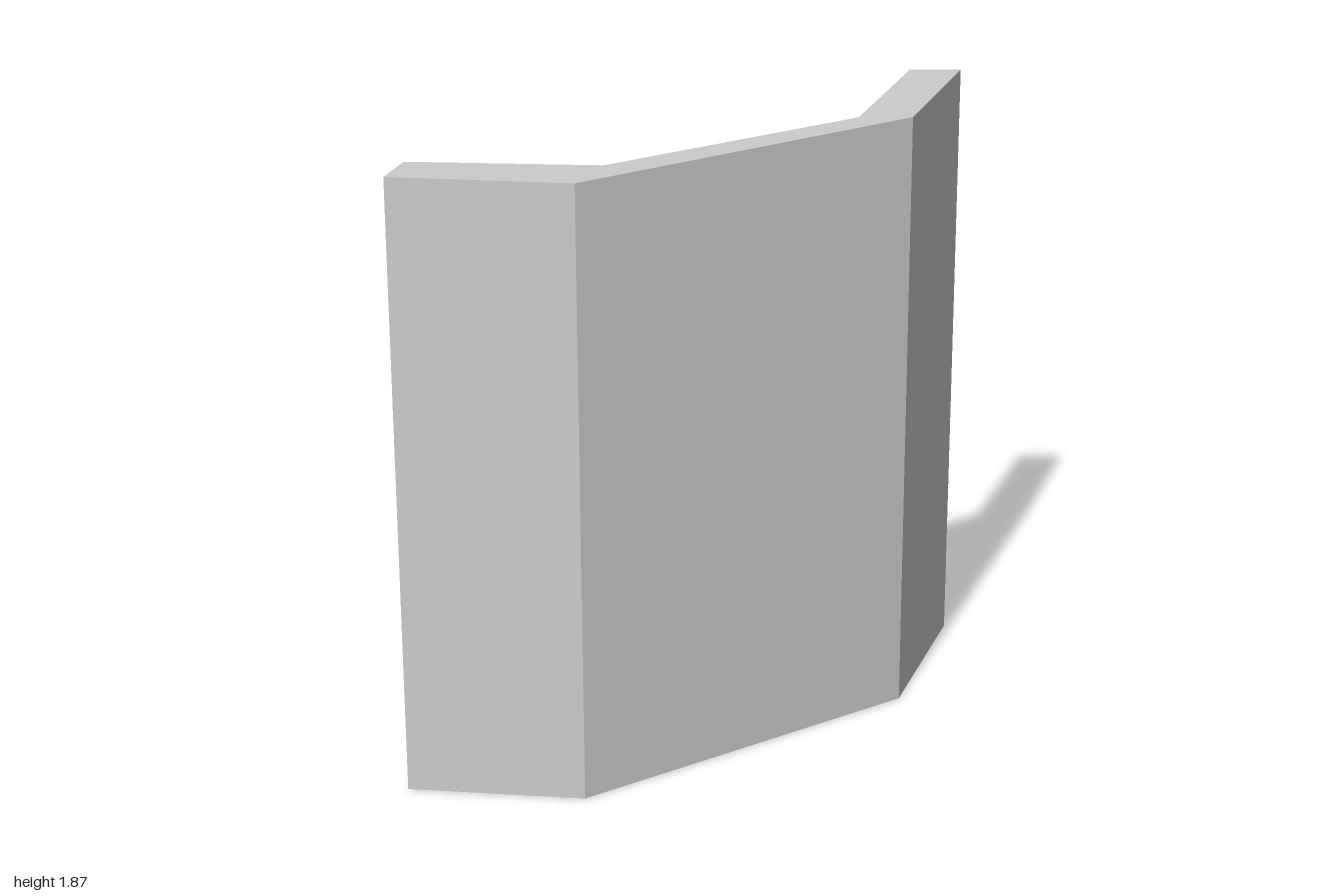
import * as THREE from 'three';

const HEIGHT = 1.87;

// Plan outline of the folded panel as [x, z]: outer (front) face, then inner (back) face
const OUTLINE = [
  [-1, -0.12], [-0.6, 0.22], [0.555, 0.207], [1, -0.137],
  [0.87, -0.222], [0.425, 0.12], [-0.445, 0.12], [-0.885, -0.217],
];

export function createModel() {
  const group = new THREE.Group();
  group.name = 'foldedPanel';

  // Wall: plan outline extruded upwards, with plan z mapped to -y of the shape
  const shape = new THREE.Shape(OUTLINE.map(([x, z]) => new THREE.Vector2(x, -z)));
  const geometry = new THREE.ExtrudeGeometry(shape, { depth: HEIGHT, bevelEnabled: false });
  geometry.rotateX(-Math.PI / 2);

  const material = new THREE.MeshStandardMaterial({ color: 0xcccccc, flatShading: true });
  const wall = new THREE.Mesh(geometry, material);
  wall.name = 'angledWall';
  group.add(wall);
  return group;
}
